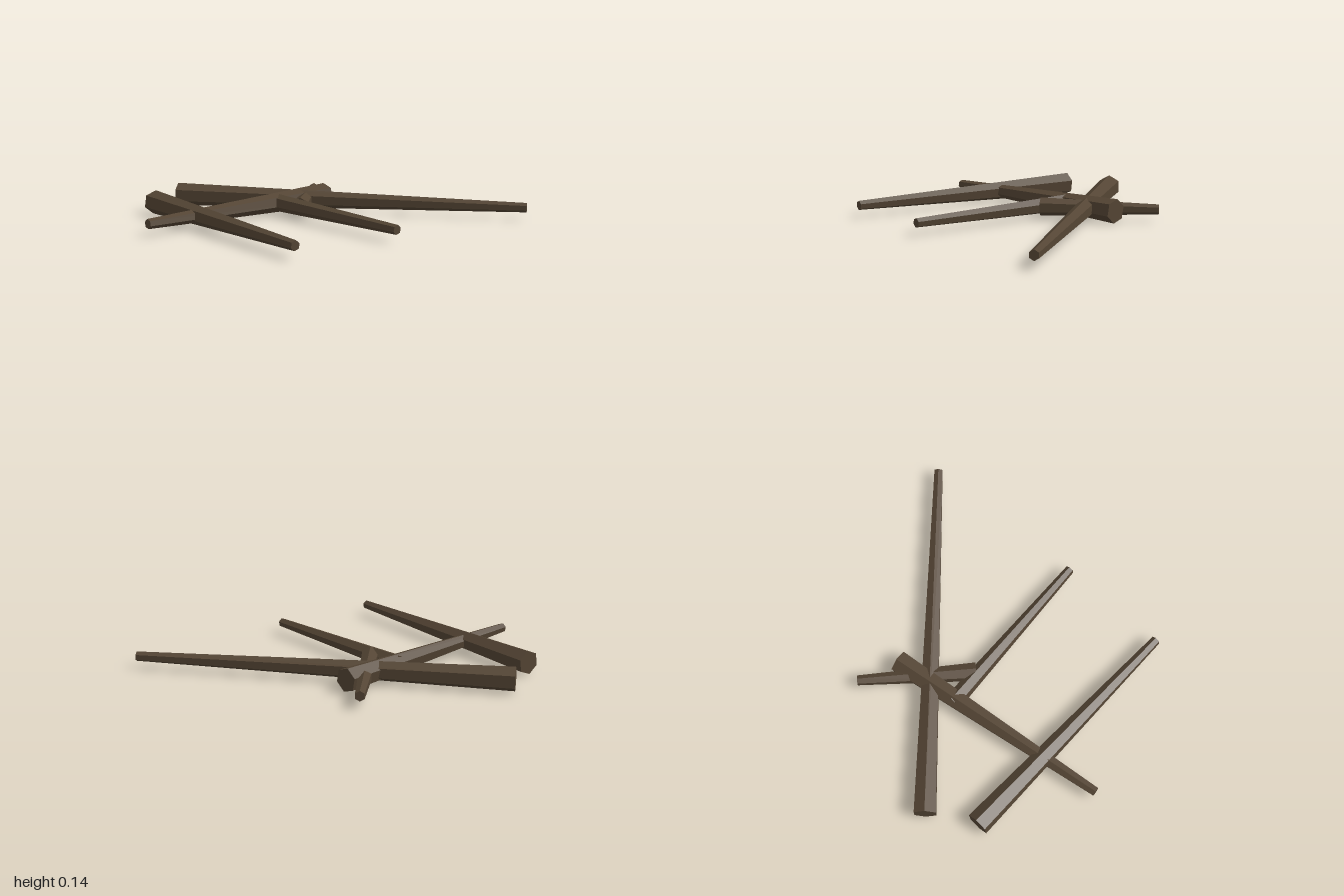
import * as THREE from 'three';

// A loose scatter of tapered six-sided sticks lying flat
export function createModel() {
  const group = new THREE.Group();
  group.name = 'sticks';
  const bark = new THREE.MeshStandardMaterial({ color: 0x544534, flatShading: true });
  bark.name = 'dark bark';

  // thick end (x, z), thin end (x, z), thick radius, thin radius, roll about its own axis
  const sticks = [
    ['longStick', -0.975, 0.015, 0.985, -0.815, 0.07, 0.028, 0],
    ['frontStick', -0.91, 0.303, 0.495, 0.8, 0.07, 0.028, -0.15],
    ['crossStick', -0.23, -0.503, -0.478, 0.825, 0.07, 0.028, 0.2],
    ['shortStick', -0.105, -0.07, -0.43, -0.668, 0.054, 0.029, 0],
    ['sideStick', -0.33, -0.115, 0.705, 0.172, 0.052, 0.027, -0.2],
  ];

  for (const [name, x0, z0, x1, z1, thick, thin, roll] of sticks) {
    const dx = x1 - x0, dz = z1 - z0;
    const geo = new THREE.CylinderGeometry(thin, thick, Math.hypot(dx, dz), 6);
    geo.rotateX(Math.PI / 2).rotateZ(roll).rotateY(Math.atan2(dx, dz));
    const mesh = new THREE.Mesh(geo, bark);
    mesh.name = name;
    mesh.position.set((x0 + x1) / 2, 0.075, (z0 + z1) / 2);
    group.add(mesh);
  }
  return group;
}
